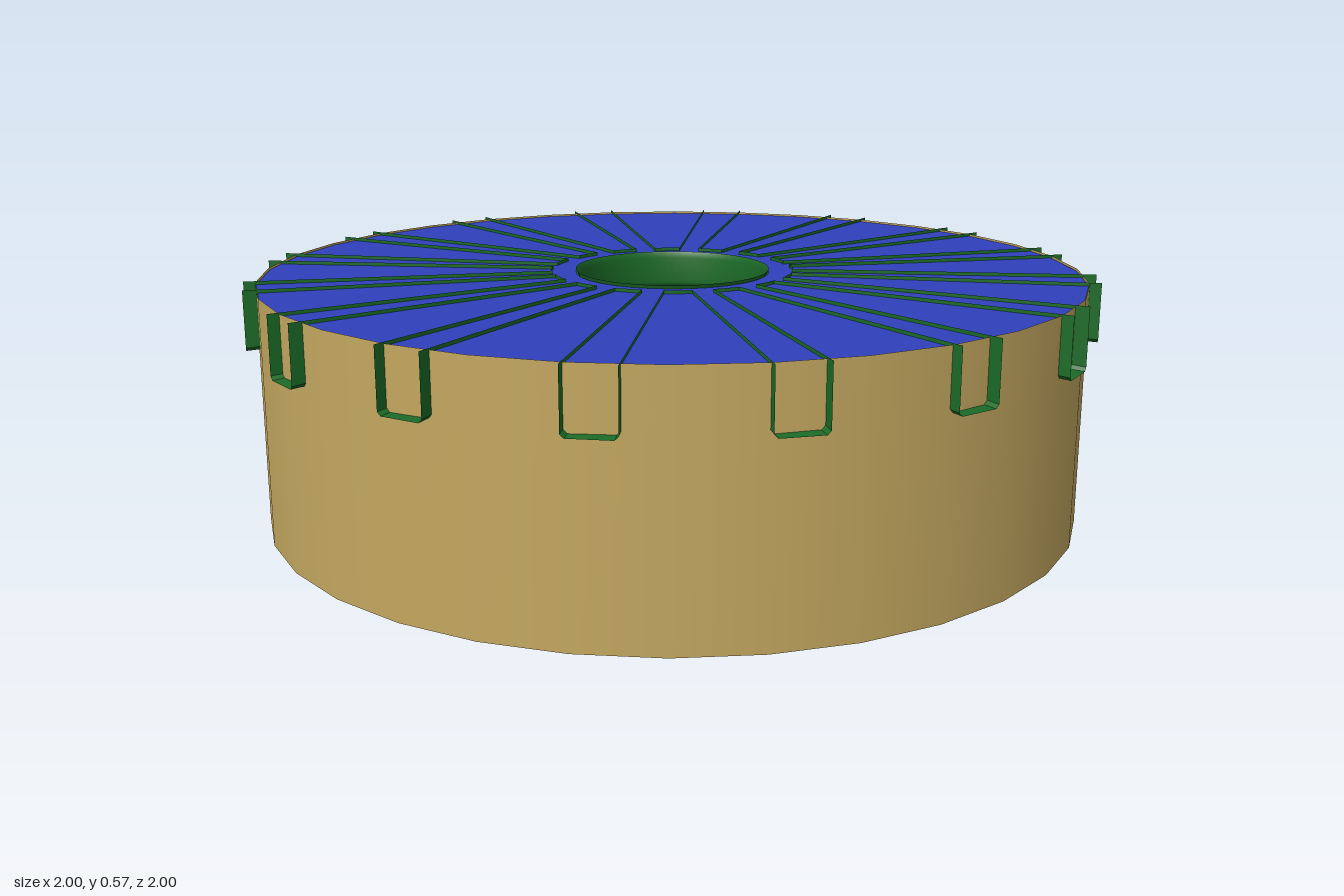
import * as THREE from 'three';

const TOP = 0.575, RIBS = 16, R_HUB = 0.29, Y_HUB = 0.485;
const STEP = (Math.PI * 2) / RIBS;

const paint = (color) => new THREE.MeshStandardMaterial({ color, side: THREE.DoubleSide });

// Open sheet joining equal-length cross-sections, with flat facets
function sheet(sections) {
  const pos = [];
  for (let s = 0; s < sections.length - 1; s++) {
    const a = sections[s], b = sections[s + 1];
    for (let i = 0; i < a.length - 1; i++) {
      for (const p of [a[i], b[i], a[i + 1], a[i + 1], b[i], b[i + 1]]) pos.push(...p);
    }
  }
  const g = new THREE.BufferGeometry();
  g.setAttribute('position', new THREE.Float32BufferAttribute(pos, 3));
  g.computeVertexNormals();
  return g;
}

// U-shaped channel section at radius r, with chamfered lower corners
function channel(r, width, bottom) {
  const h = width / 2, c = 0.008;
  return [
    [r, TOP, h], [r, bottom + c, h], [r, bottom, h - c],
    [r, bottom, c - h], [r, bottom + c, -h], [r, TOP, -h],
  ];
}

export function createModel() {
  const model = new THREE.Group();
  const tan = paint(0xc4a860), blue = paint(0x2f40bb), green = paint(0x1b6b27);
  const add = (parent, geometry, material, name) => {
    const mesh = new THREE.Mesh(geometry, material);
    mesh.name = name;
    parent.add(mesh);
    return mesh;
  };
  const facetTurn = -THREE.MathUtils.degToRad(3);

  // Thin outer wall, open below
  const wall = add(model, new THREE.CylinderGeometry(0.975, 0.975, 0.572, 32, 1, true), tan, 'outerWall');
  wall.position.y = 0.286;
  wall.rotation.y = facetTurn;

  // Top plate with a central hole
  const plate = add(model, new THREE.RingGeometry(0.232, 0.973, 32).rotateX(-Math.PI / 2), blue, 'topPlate');
  plate.position.y = 0.567;
  plate.rotation.y = facetTurn;

  // Hub: inner sleeve and rounded underside
  const spider = new THREE.Group();
  spider.name = 'ribFrame';
  model.add(spider);
  const profile = [
    [0.232, TOP], [0.224, 0.56], [0.224, Y_HUB + 0.012], [0.228, Y_HUB + 0.003],
    [0.238, Y_HUB], [0.276, Y_HUB], [0.287, Y_HUB + 0.004], [R_HUB, Y_HUB + 0.012],
  ].map(([x, y]) => new THREE.Vector2(x, y));
  add(spider, new THREE.LatheGeometry(profile, 64), green, 'hub');

  // Tapered channel ribs that pass through the wall, and hub walls between them
  const innerWidth = 0.05;
  const ribGeometry = sheet([channel(R_HUB - 0.003, innerWidth, Y_HUB), channel(1, 0.11, 0.435)]);
  const half = Math.asin(innerWidth / 2 / R_HUB);
  const webHeight = TOP - Y_HUB - 0.012;
  const webGeometry = new THREE.CylinderGeometry(
    R_HUB, R_HUB, webHeight, 6, 1, true, Math.PI / 2 + half, STEP - 2 * half);
  webGeometry.translate(0, TOP - webHeight / 2, 0);
  for (let i = 0; i < RIBS; i++) {
    add(spider, ribGeometry, green, 'rib').rotation.y = i * STEP;
    add(spider, webGeometry, green, 'hubWall').rotation.y = i * STEP;
  }
  return model;
}
